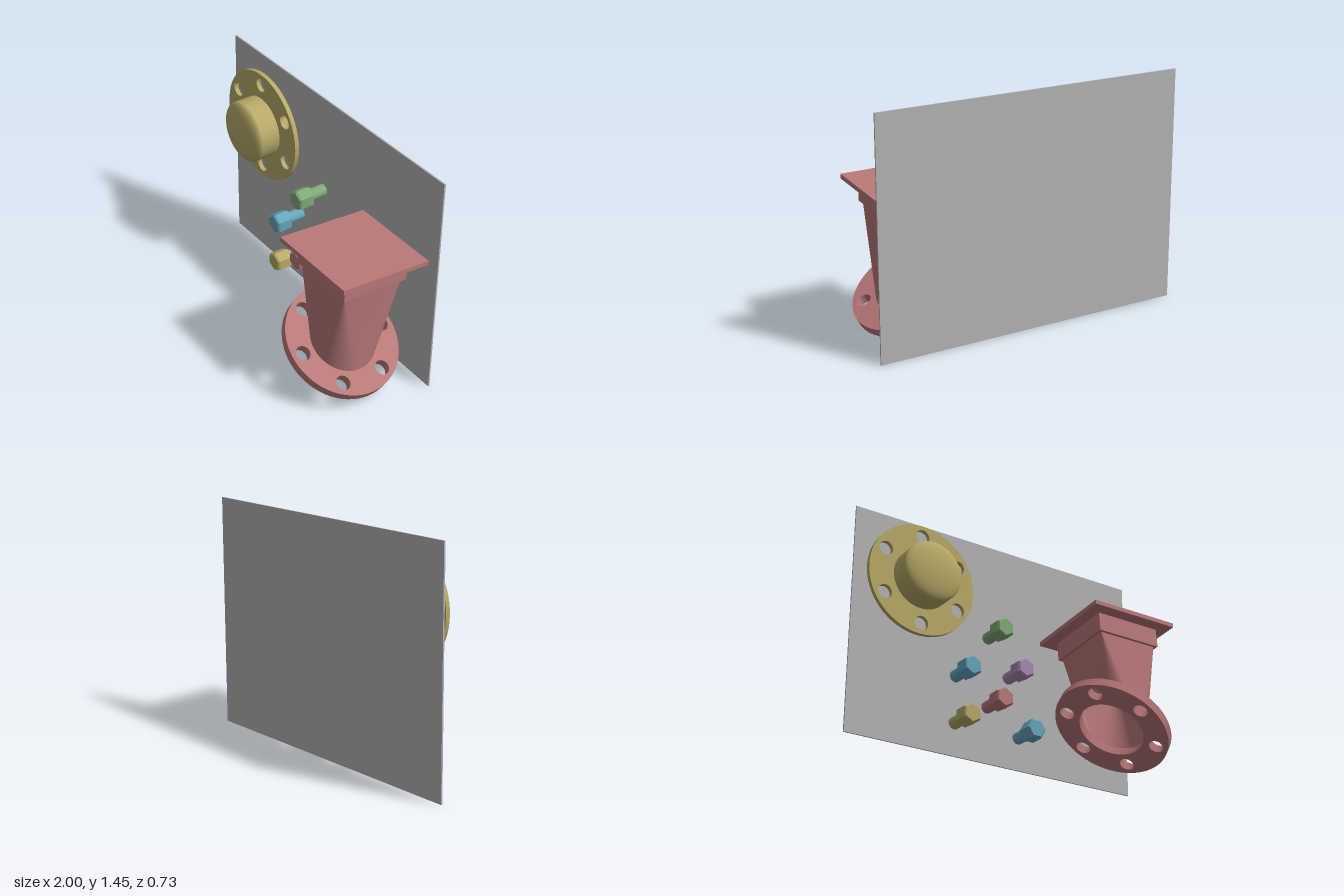
import * as THREE from 'three';
import { toCreasedNormals } from 'three/addons/utils/BufferGeometryUtils.js';

function paint(name, color, side = THREE.FrontSide) {
  const m = new THREE.MeshStandardMaterial({ color, side });
  m.name = name;
  return m;
}

function add(parent, name, geometry, material, x = 0, y = 0, z = 0) {
  const mesh = new THREE.Mesh(geometry, material);
  mesh.name = name;
  mesh.position.set(x, y, z);
  parent.add(mesh);
  return mesh;
}

// Round flange with a ring of six bolt holes, lying in XY and extruded along +z
function flangeGeometry(radius, bore, pitch, hole, depth, offset) {
  const shape = new THREE.Shape().absarc(0, 0, radius, 0, Math.PI * 2);
  const cut = (x, y, r) => shape.holes.push(new THREE.Path().absarc(x, y, r, 0, Math.PI * 2, true));
  if (bore) cut(0, 0, bore);
  for (let i = 0; i < 6; i++) {
    const a = offset + i * Math.PI / 3;
    cut(Math.cos(a) * pitch, Math.sin(a) * pitch, hole);
  }
  const g = new THREE.ExtrudeGeometry(shape, { depth, bevelEnabled: false, curveSegments: 32 });
  return toCreasedNormals(g, 0.6);
}

// Square-to-round transition: a cone quarter from each corner, flat triangles between
function transitionGeometry(half, top, radius, tilt, steps = 16) {
  const pos = [];
  const ring = (a) => {
    const x = Math.cos(a) * radius;
    return [x * Math.cos(tilt), -x * Math.sin(tilt), Math.sin(a) * radius];
  };
  const corner = (q) => {
    const a = (q + 0.5) * Math.PI / 2;
    return [Math.sign(Math.cos(a)) * half, top, Math.sign(Math.sin(a)) * half];
  };
  for (let q = 0; q < 4; q++) {
    for (let i = 0; i < steps; i++) {
      const a = (q + i / steps) * Math.PI / 2;
      const b = (q + (i + 1) / steps) * Math.PI / 2;
      pos.push(...corner(q), ...ring(b), ...ring(a));
    }
    pos.push(...corner(q), ...corner(q + 1), ...ring((q + 1) * Math.PI / 2));
  }
  const g = new THREE.BufferGeometry();
  g.setAttribute('position', new THREE.Float32BufferAttribute(pos, 3));
  g.computeVertexNormals();
  return toCreasedNormals(g, 0.35);
}

export function createModel() {
  const grey = paint('plate grey', 0xb4b4b4);
  const yellow = paint('cap yellow', 0xb8aa68);
  const red = paint('dusty red', 0xb87878, THREE.DoubleSide);
  const blue = paint('bolt blue', 0x66a6be);
  const green = paint('bolt green', 0x80aa78);
  const purple = paint('bolt purple', 0xa68ab0);
  const model = new THREE.Group();
  model.name = 'pipeFittings';

  // Backing plate
  add(model, 'backPlate', new THREE.BoxGeometry(2, 1.445, 0.01), grey, 0, 0.7225, -0.36);

  // Domed cap with flange
  const cap = new THREE.Group();
  cap.name = 'domedCap';
  cap.position.set(-0.585, 1.03, -0.355);
  model.add(cap);
  const profile = [new THREE.Vector2(0.193, 0), new THREE.Vector2(0.193, 0.215)];
  for (let i = 1; i <= 16; i++) {
    const a = i / 16 * Math.PI / 2;
    profile.push(new THREE.Vector2(Math.max(0, 0.193 * Math.cos(a)), 0.215 + 0.057 * Math.sin(a)));
  }
  add(cap, 'capBody', new THREE.LatheGeometry(profile, 64).rotateX(Math.PI / 2), yellow);
  const capFlange = flangeGeometry(0.358, 0.19, 0.286, 0.045, 0.028, Math.PI / 2 + 0.02);
  add(cap, 'capFlange', capFlange, yellow, 0, 0, 0.064);

  // Hexagonal bolts: chamfered head on a round shank
  const headProfile = [[0, 0], [0.055, 0], [0.065, 0.012], [0.065, 0.095], [0.055, 0.107], [0, 0.107]];
  const head = new THREE.LatheGeometry(headProfile.map(([r, y]) => new THREE.Vector2(r, y)), 6)
    .toNonIndexed().rotateX(Math.PI / 2);
  head.computeVertexNormals();
  const shank = new THREE.CylinderGeometry(0.038, 0.038, 0.11, 32).rotateX(Math.PI / 2);
  const bolts = [
    [-0.06, 0.81, green, 0], [0.09, 0.58, purple, 0], [-0.285, 0.505, blue, 0],
    [-0.06, 0.355, red, 0], [-0.285, 0.205, yellow, 0], [0.165, 0.205, blue, Math.PI / 6],
  ];
  for (const [x, y, material, turn] of bolts) {
    const bolt = new THREE.Group();
    bolt.name = 'bolt';
    bolt.position.set(x, y, 0);
    bolt.rotation.z = turn;
    add(bolt, 'boltHead', head, material, 0, 0, -0.251);
    add(bolt, 'boltShank', shank, material, 0, 0, -0.303);
    model.add(bolt);
  }

  // Square-to-round duct, leaning back slightly
  const duct = new THREE.Group();
  duct.name = 'squareToRoundDuct';
  duct.position.set(0.627, 0.288, 0.003);
  duct.rotation.x = -0.096;
  model.add(duct);
  const tilt = Math.PI / 6;
  add(duct, 'topPlate', new THREE.BoxGeometry(0.595, 0.028, 0.595), red, 0, 0.617, 0);
  add(duct, 'collar', new THREE.BoxGeometry(0.44, 0.12, 0.44), red, 0, 0.543, 0);
  add(duct, 'transition', transitionGeometry(0.202, 0.49, 0.207, tilt), red);
  const base = flangeGeometry(0.36, 0.204, 0.286, 0.045, 0.056, Math.PI / 6).rotateX(Math.PI / 2);
  add(duct, 'baseFlange', base, red).rotation.z = -tilt;

  return model;
}
